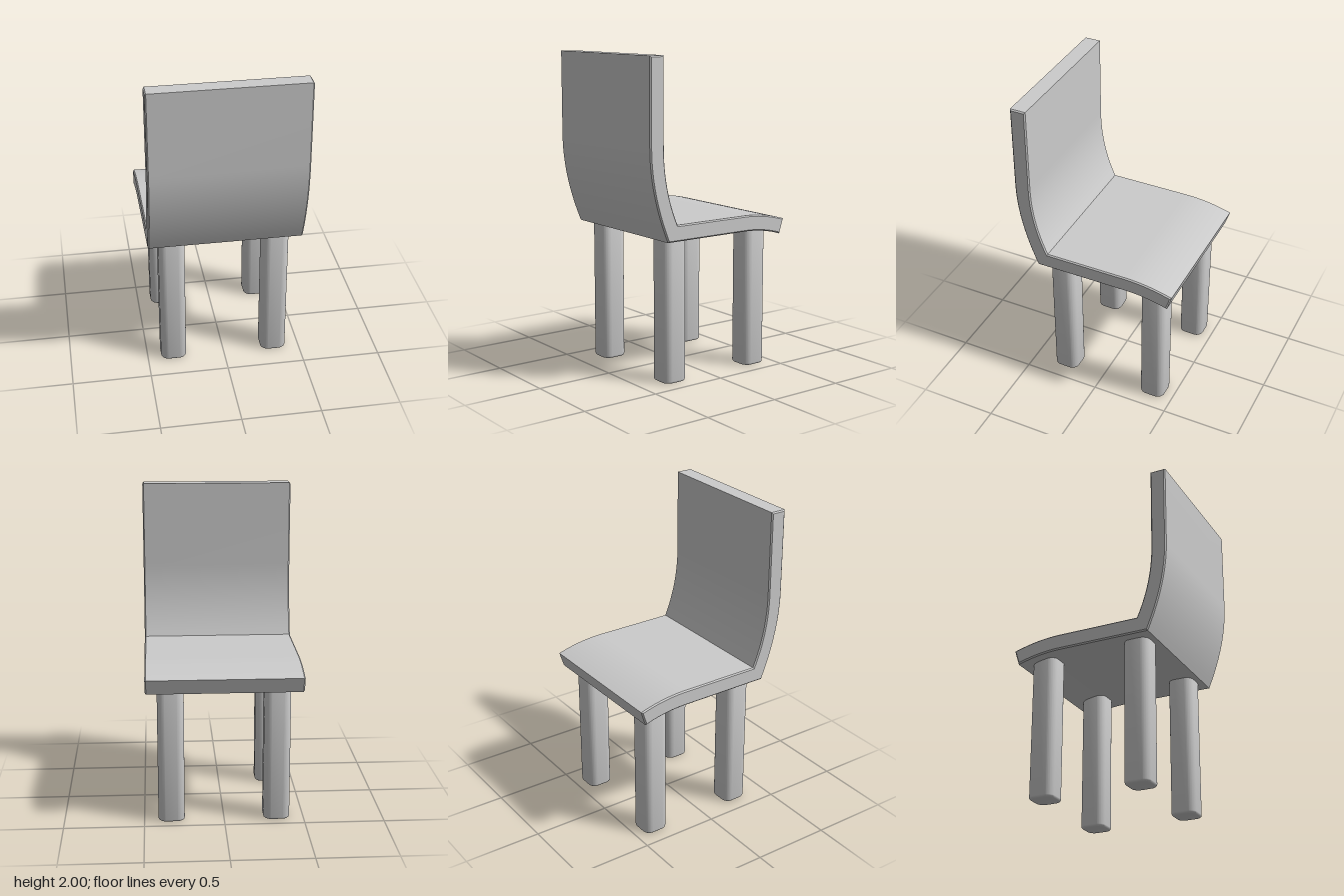
import * as THREE from 'three';
import { toCreasedNormals } from 'three/addons/utils/BufferGeometryUtils.js';

const material = new THREE.MeshStandardMaterial({ color: 0xcccccc });

// Continuous seat and backrest: side profile (z, y) extruded across x
function createSeatShell() {
  const width = 0.97, bevel = 0.008;
  const s = new THREE.Shape();
  s.moveTo(0.42, 2);
  s.lineTo(0.42, 1.47);
  s.quadraticCurveTo(0.42, 1.22, 0.32, 1); // inner back curve
  s.lineTo(-0.2, 1);
  s.quadraticCurveTo(-0.36, 1, -0.52, 0.95); // drooping front edge, top
  s.lineTo(-0.49, 0.855);
  s.quadraticCurveTo(-0.35, 0.9, -0.2, 0.9); // drooping front edge, underside
  s.lineTo(0.39, 0.9);
  s.quadraticCurveTo(0.52, 1.2, 0.52, 1.47); // outer back curve
  s.lineTo(0.52, 2);
  s.closePath();
  const g = new THREE.ExtrudeGeometry(s, {
    depth: width - 2 * bevel, curveSegments: 12,
    bevelEnabled: true, bevelSize: bevel, bevelOffset: -bevel,
    bevelThickness: bevel, bevelSegments: 1,
  });
  g.translate(0, 0, bevel - width / 2);
  g.rotateY(-Math.PI / 2);
  const mesh = new THREE.Mesh(toCreasedNormals(g, 0.6), material);
  mesh.name = 'seatAndBackrest';
  return mesh;
}

// Rounded-square post with a softened foot, its top set into the seat
function createLegGeometry() {
  const h = 0.0825, r = 0.05, bevel = 0.014, height = 0.92;
  const s = new THREE.Shape();
  s.moveTo(-h + r, -h);
  s.absarc(h - r, -h + r, r, -Math.PI / 2, 0);
  s.absarc(h - r, h - r, r, 0, Math.PI / 2);
  s.absarc(-h + r, h - r, r, Math.PI / 2, Math.PI);
  s.absarc(-h + r, -h + r, r, Math.PI, Math.PI * 1.5);
  const g = new THREE.ExtrudeGeometry(s, {
    depth: height - 2 * bevel, curveSegments: 8,
    bevelEnabled: true, bevelSize: bevel, bevelOffset: -bevel,
    bevelThickness: bevel, bevelSegments: 3,
  });
  g.translate(0, 0, bevel);
  g.rotateX(-Math.PI / 2);
  return toCreasedNormals(g, 0.7);
}

export function createModel() {
  const chair = new THREE.Group();
  chair.name = 'chair';
  chair.add(createSeatShell());

  const legGeometry = createLegGeometry();
  for (const [end, z] of [['back', 0.27], ['front', -0.36]]) {
    for (const [side, x] of [['Left', 0.33], ['Right', -0.33]]) {
      const leg = new THREE.Mesh(legGeometry, material);
      leg.name = `${end}${side}Leg`;
      leg.position.set(x, 0, z);
      chair.add(leg);
    }
  }
  return chair;
}
